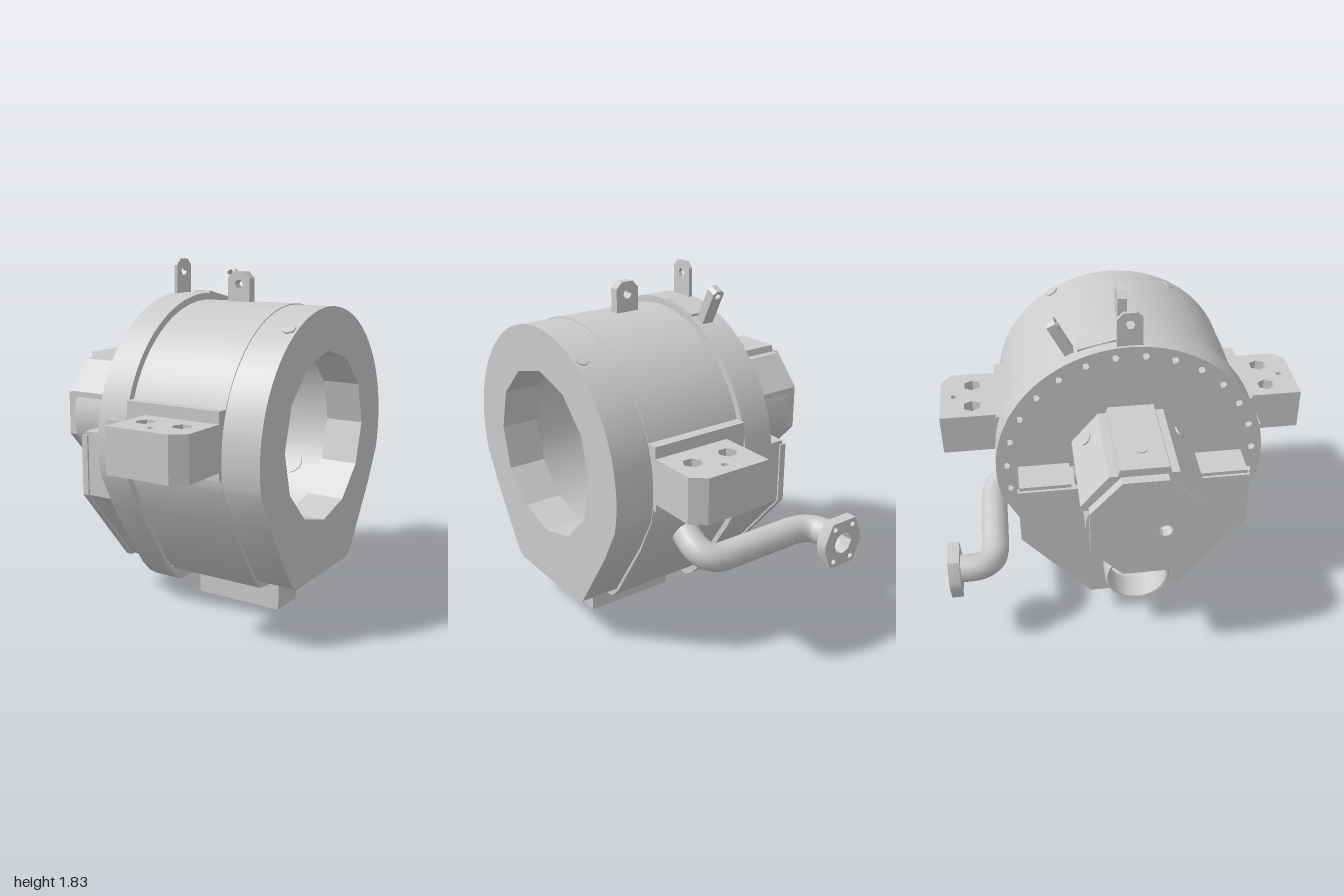
import * as THREE from 'three';
import { toCreasedNormals } from 'three/addons/utils/BufferGeometryUtils.js';

const CY = 0.935; // height of the main axis
const grey = new THREE.MeshStandardMaterial({ color: 0xcccccc, side: THREE.DoubleSide });

function add(group, name, geometry) {
  const mesh = new THREE.Mesh(geometry, grey);
  mesh.name = name;
  group.add(mesh);
  return mesh;
}

function box(group, name, x0, x1, y0, y1, z0, z1) {
  const g = new THREE.BoxGeometry(x1 - x0, y1 - y0, z1 - z0);
  g.translate((x0 + x1) / 2, (y0 + y1) / 2, (z0 + z1) / 2);
  return add(group, name, g);
}

// Points of an arc, angles in degrees
function arc(cx, cy, r, a0, a1, n) {
  return Array.from({ length: n + 1 }, (_, i) => {
    const a = THREE.MathUtils.degToRad(a0 + ((a1 - a0) * i) / n);
    return [cx + r * Math.cos(a), cy + r * Math.sin(a)];
  });
}
const ring = (cx, cy, r, n = 8) => arc(cx, cy, r, 0, 360 - 360 / n, n - 1);
const toVec = (pts) => pts.map(([a, b]) => new THREE.Vector2(a, b));

function extrude(pts, holes, depth) {
  const shape = new THREE.Shape(toVec(pts));
  shape.holes = holes.map((h) => new THREE.Path(toVec(h)));
  return toCreasedNormals(new THREE.ExtrudeGeometry(shape, { depth, bevelEnabled: false }), 0.5);
}

// Extrude a (-z, y) section along x
const along = (pts, holes, x0, x1) =>
  extrude(pts, holes, x1 - x0).rotateY(Math.PI / 2).translate(x0, 0, 0);

// Mirror a right-hand list of points to the left
const mirrored = (pts) => [...pts, ...pts.map(([a, b]) => [-a, b]).reverse()];

// Round top with sides sloping in to a flat bottom; 'lower' runs from the bottom upwards
function hull(R, lower) {
  const half = [...lower, ...arc(0, CY, R, -14, 88, 24)];
  return mirrored(half);
}

// V-shaped duct section with a round notch under the motor, inset by i
function ductSection(i) {
  const outer = [[0.25 - i / 2, 0.19 + i], [0.61 - i, 0.62], [0.61 - i, 0.94 - i]];
  return [...outer, ...arc(0, 0.94 - i, 0.3 + i, 0, -180, 16), ...outer.map(([a, b]) => [-a, b]).reverse()];
}

// Lifting eye: upright tab with cut corners and a hole
function eyeTab(w, h, t, holeR) {
  const c = w * 0.25;
  return extrude(mirrored([[w / 2, 0], [w / 2, h - c], [w / 2 - c, h]]),
    [ring(0, h - w / 2, holeR, 6)], t).translate(0, 0, -t / 2);
}

export function createModel() {
  const root = new THREE.Group();

  // Casing
  const flangeHull = hull(0.715, [[0.24, 0.11], [0.29, 0.14], [0.36, 0.21], [0.59, 0.56]]);
  const bodyHull = hull(0.68, [[0.22, 0.178], [0.3, 0.19], [0.36, 0.25], [0.565, 0.575]]);
  const endHull = hull(0.675, [[0.29, 0.22], [0.34, 0.25], [0.56, 0.59]]);
  const boltHoles = arc(0, CY, 0.66, -10, 190, 15);
  for (const s of [-1, 1]) boltHoles.push([s * 0.53, 0.56], [s * 0.42, 0.38], [s * 0.31, 0.22]);
  const throat = [...arc(0, CY, 0.27, 0, 180, 4), ...arc(0, CY, 0.43, 180, 360, 7)];
  add(root, 'flange', along(flangeHull, [throat, ...boltHoles.map(([a, b]) => ring(a, b, 0.02, 6))], -0.17, 0));
  add(root, 'body', along(bodyHull, [ring(0, CY, 0.58, 24)], 0, 0.53));
  add(root, 'endRing', along(endHull, [ring(0, 0.95, 0.44, 12)], 0.53, 0.735));

  // Side pads and mounting lugs with bolt holes
  const lug = [[0.11, 0.68], [0.53, 0.68], [0.53, 0.94], [0.46, 1], [0.11, 1]];
  const lugHoles = [ring(0.21, 0.825, 0.05, 6), ring(0.415, 0.825, 0.05, 6), ring(0.31, 0.925, 0.018, 6)];
  for (const s of [-1, 1]) {
    box(root, 'sidePad', 0, 0.53, 0.84, 1.17, s > 0 ? 0.6 : -0.695, s > 0 ? 0.695 : -0.6);
    const flip = ([x, z]) => [x, -s * z];
    const g = extrude(lug.map(flip), lugHoles.map((h) => h.map(flip)), 0.23);
    add(root, 'mountingLug', g.rotateX(-Math.PI / 2).translate(0, 0.88, 0));
    // Small plugs on the end ring
    const plug = add(root, 'endPlug', new THREE.CylinderGeometry(0.035, 0.035, 0.03, 6));
    plug.position.set(0.69, CY + 0.667 * Math.cos(0.52), s * 0.667 * Math.sin(0.52));
    plug.rotation.x = s * 0.52;
  }

  // Foot under the body
  const foot = [[0.035, 0], [0.53, 0], [0.53, 0.2], [0, 0.2], [0, 0.1], [0.035, 0.1]];
  add(root, 'foot', extrude(foot, [], 0.2).translate(0, 0, -0.1));

  // Lifting eyes and the tilted bracket
  add(root, 'bodyEye', eyeTab(0.13, 0.18, 0.05, 0.025)).position.set(0.225, 1.59, 0);
  const plateEye = add(root, 'flangeEye', eyeTab(0.13, 0.2, 0.02, 0.025));
  plateEye.position.set(-0.145, 1.63, 0);
  plateEye.rotation.y = Math.PI / 2;
  const tilted = add(root, 'tiltedEye', eyeTab(0.065, 0.24, 0.05, 0.018));
  tilted.position.set(-0.06, 1.55, -0.28);
  tilted.rotation.x = -0.47;

  // Plates on the flange
  box(root, 'sidePlate', -0.105, -0.005, 0.8, 1.07, 0.69, 0.72);
  const topPlate = box(root, 'topPlate', -0.105, -0.005, -0.01, 0.01, -0.105, 0.105);
  topPlate.geometry.center();
  topPlate.position.set(-0.055, CY + 0.71 * Math.cos(0.22), -0.71 * Math.sin(0.22));
  topPlate.rotation.x = -0.22;

  // Motor housing: round below, raised panels above
  const motorHalf = [...arc(0, 0.95, 0.29, -86, 24, 9), [0.31, 1.07], [0.31, 1.1], [0.17, 1.265], [0.13, 1.265], [0.12, 1.3]];
  add(root, 'motorHousing', along(mirrored(motorHalf), [arc(0, 0.96, 0.275, 22.5, 337.5, 7)], -0.69, -0.165));
  const cap = arc(0, 0.965, 0.3, 22.5, 337.5, 7).map(([a, b]) => [a * 0.98, 0.965 + (b - 0.965) * 1.06]);
  add(root, 'motorCap', along(cap, [ring(-0.1, 0.94, 0.035, 10)], -0.74, -0.69));
  for (const [x, y, z, tilt] of [[-0.54, 1.3, 0, 0], [-0.275, 1.186, 0.24, 0.87], [-0.275, 1.186, -0.24, -0.87]]) {
    const plug = add(root, 'motorPlug', new THREE.CylinderGeometry(0.033, 0.033, 0.012, 10));
    plug.position.set(x, y, z);
    plug.rotation.x = tilt;
  }

  // Duct below the motor with its round outlet
  add(root, 'ductWall', along(ductSection(0.01), [ductSection(0.04)], -0.335, -0.165));
  add(root, 'ductPlate', along(ductSection(0), [ring(0, 0.395, 0.16, 20)], -0.365, -0.33));
  for (const s of [-1, 1]) box(root, 'ductLid', -0.35, -0.17, 0.93, 0.96, s > 0 ? 0.33 : -0.6, s > 0 ? 0.6 : -0.33);
  const outletProfile = [[0.157, 0.35], [0.157, 0.49], [0.168, 0.492], [0.178, 0.475], [0.178, 0.38], [0.17, 0.35]];
  const outlet = new THREE.LatheGeometry(toVec(outletProfile), 28);
  add(root, 'outlet', toCreasedNormals(outlet.rotateZ(Math.PI / 2).translate(0, 0.395, 0), 0.6));

  // Side pipe leading out of the body to a bolted flange
  const v = (x, y, z) => new THREE.Vector3(x, y, z);
  const path = new THREE.CurvePath();
  const line = (a, b) => path.add(new THREE.LineCurve3(a, b));
  const bend = (a, b, c) => path.add(new THREE.QuadraticBezierCurve3(a, b, c));
  line(v(0.27, 0.66, -0.5), v(0.27, 0.57, -0.64));
  bend(v(0.27, 0.57, -0.64), v(0.27, 0.51, -0.755), v(0.14, 0.51, -0.755));
  line(v(0.14, 0.51, -0.755), v(-0.28, 0.51, -0.755));
  bend(v(-0.28, 0.51, -0.755), v(-0.43, 0.51, -0.755), v(-0.43, 0.51, -0.89));
  line(v(-0.43, 0.51, -0.89), v(-0.43, 0.51, -0.99));
  add(root, 'pipe', new THREE.TubeGeometry(path, 60, 0.073, 14, false));
  const pf = mirrored([[0.08, -0.125], [0.125, -0.02], [0.125, 0.02], [0.08, 0.125]]);
  const pfHoles = [ring(0, 0, 0.06, 8)];
  for (const a of [-1, 1]) for (const b of [-1, 1]) pfHoles.push(ring(a * 0.06, b * 0.092, 0.016, 6));
  add(root, 'pipeFlange', extrude(pf, pfHoles, 0.06).translate(-0.43, 0.505, -1));

  return root;
}
